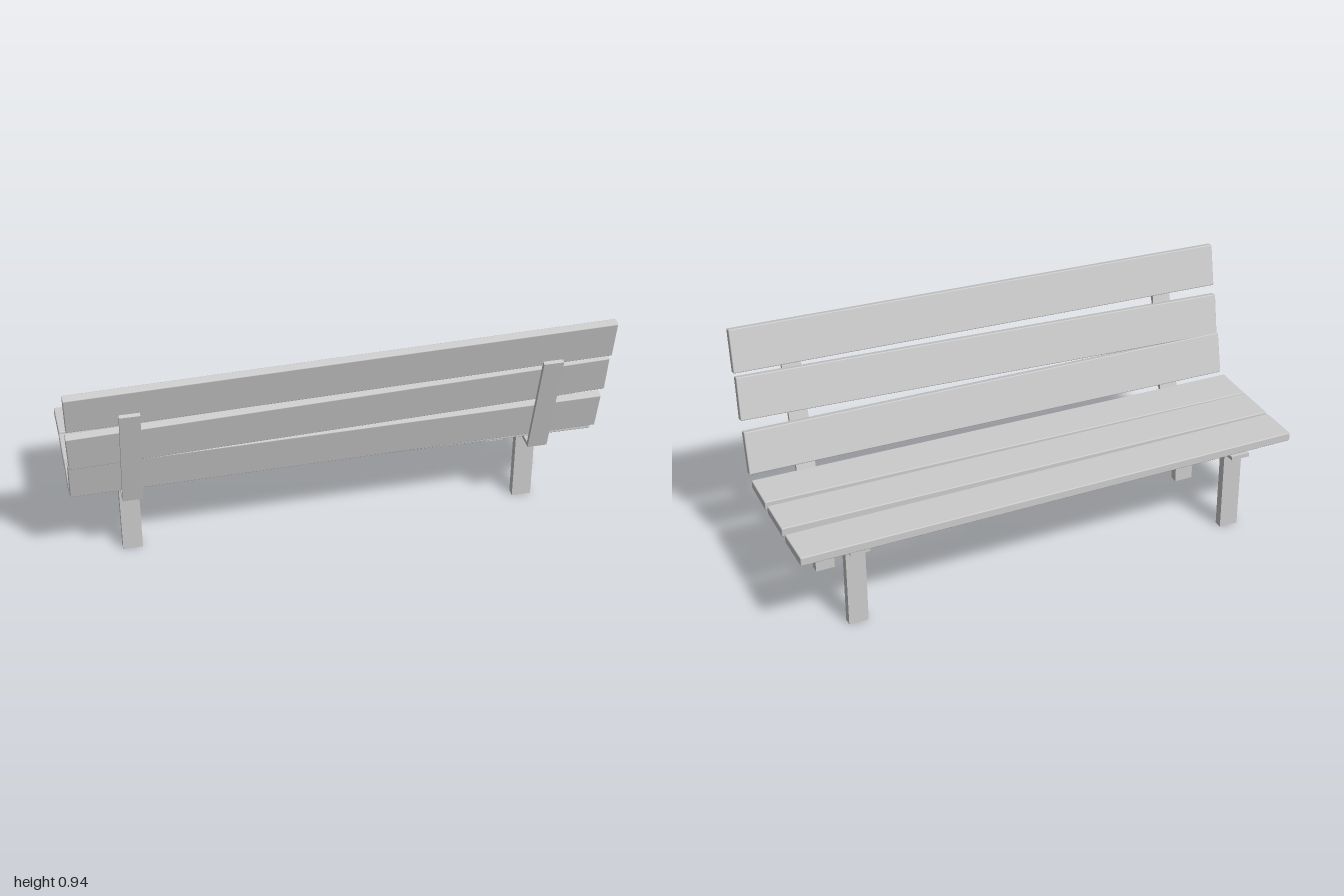
import * as THREE from 'three';
import { RoundedBoxGeometry } from 'three/addons/geometries/RoundedBoxGeometry.js';

const LENGTH = 1.99, WIDTH = 0.165, THICK = 0.031;
const RECLINE = Math.atan2(0.11, 0.45);
const SUPPORT_X = 0.77, SUPPORT_W = 0.075;

export function createModel() {
  const bench = new THREE.Group();
  bench.name = 'bench';
  const material = new THREE.MeshStandardMaterial({ color: 0xcccccc });

  const add = (name, geometry, x, y, z) => {
    const mesh = new THREE.Mesh(geometry, material);
    mesh.name = name;
    mesh.position.set(x, y, z);
    bench.add(mesh);
    return mesh;
  };

  // Seat planks, each lying flat and slightly askew: [z, yaw]
  [[-0.2715, 0.014], [-0.083, 0], [0.0965, -0.01]].forEach(([z, yaw], i) => {
    const plank = add(`seatPlank${i + 1}`, new RoundedBoxGeometry(LENGTH, 0.034, WIDTH, 2, 0.004), 0, 0.368, z);
    plank.rotation.y = yaw;
  });

  // Backrest planks, leaning back and tilted within the backrest plane: [y, z, tilt]
  [[0.469, 0.2315, 0.0095], [0.647, 0.28, 0.0345], [0.834, 0.3265, 0.023]].forEach(([y, z, tilt], i) => {
    const plank = add(`backPlank${i + 1}`, new RoundedBoxGeometry(LENGTH, WIDTH, THICK, 2, 0.004), 0, y, z);
    plank.rotation.set(RECLINE, 0, tilt);
  });

  // Bent flat bracket carrying seat and backrest, drawn as a (z, y) profile
  const profile = new THREE.Shape([
    [-0.355, 0.335], [0.235, 0.335], [0.346, 0.783],
    [0.331, 0.787], [0.223, 0.351], [-0.355, 0.351],
  ].map(([z, y]) => new THREE.Vector2(z, y)));
  const bracket = new THREE.ExtrudeGeometry(profile, { depth: SUPPORT_W, bevelEnabled: false });
  bracket.translate(0, 0, -SUPPORT_W / 2).rotateY(-Math.PI / 2);

  // One bracket and two legs on each side
  const leg = new THREE.BoxGeometry(SUPPORT_W, 0.336, 0.033);
  for (const [side, s] of [['left', 1], ['right', -1]]) {
    add(`${side}Bracket`, bracket, s * SUPPORT_X, 0, 0);
    add(`${side}FrontLeg`, leg, s * SUPPORT_X, 0.168, -0.284);
    add(`${side}BackLeg`, leg, s * SUPPORT_X, 0.168, 0.081);
  }
  return bench;
}
